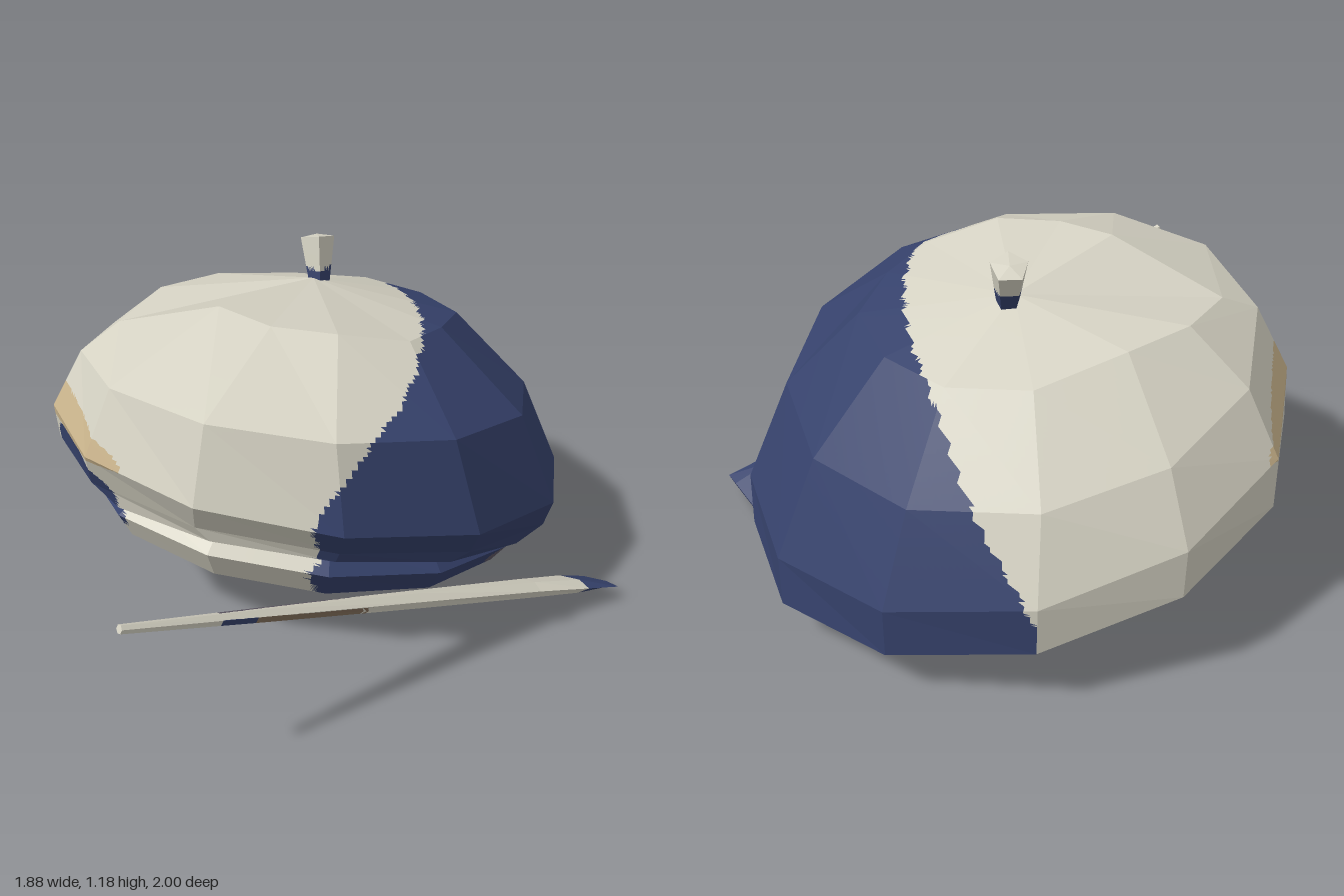
import * as THREE from 'three';

const mat = (name, color) => Object.assign(new THREE.MeshStandardMaterial({ color }), { name });
const V = (x, y, z) => new THREE.Vector3(x, y, z);

// Tilted elliptical ring: the plane rises by sx along x and by sz along z
function ring(cx, cy, cz, rx, rz, sx, sz, sides = 12, phase = 0) {
  return Array.from({ length: sides }, (_, i) => {
    const a = phase + (i / sides) * Math.PI * 2;
    const dx = rx * Math.cos(a), dz = rz * Math.sin(a);
    return V(cx + dx, cy + dx * sx + dz * sz, cz + dz);
  });
}

const point = (x, y, z, sides = 12) => Array.from({ length: sides }, () => V(x, y, z));

// True inside an ellipsoid, used to place painted patches
const within = (p, c, r) =>
  ((p.x - c[0]) / r[0]) ** 2 + ((p.y - c[1]) / r[1]) ** 2 + ((p.z - c[2]) / r[2]) ** 2 < 1;

// Flat-faceted skin over rings listed from top to bottom; paint(p) picks the colour of each small cell
function loft(name, rings, materials, paint, cells) {
  const lists = materials.map(() => []);
  const A = V(), B = V(), C = V(), mid = V();
  const facet = (a, b, c) => {
    const u = b.clone().sub(a), v = c.clone().sub(a);
    if (u.clone().cross(v).length() < 1e-7) return;
    const at = (t, i, j) => t.copy(a).addScaledVector(u, i / cells).addScaledVector(v, j / cells);
    const emit = () => {
      mid.copy(A).add(B).add(C).divideScalar(3);
      lists[paint(mid)].push(...A.toArray(), ...B.toArray(), ...C.toArray());
    };
    for (let i = 0; i < cells; i++) {
      for (let j = 0; j < cells - i; j++) {
        at(A, i, j); at(B, i + 1, j); at(C, i, j + 1);
        emit();
        if (i + j < cells - 1) {
          at(A, i + 1, j); at(B, i + 1, j + 1); at(C, i, j + 1);
          emit();
        }
      }
    }
  };
  for (let k = 0; k < rings.length - 1; k++) {
    const r0 = rings[k], r1 = rings[k + 1], n = r0.length;
    for (let j = 0; j < n; j++) {
      const m = (j + 1) % n;
      facet(r0[j], r0[m], r1[j]);
      facet(r0[m], r1[m], r1[j]);
    }
  }
  const geo = new THREE.BufferGeometry();
  let start = 0;
  lists.forEach((l, i) => {
    if (l.length) geo.addGroup(start, l.length / 3, i);
    start += l.length / 3;
  });
  geo.setAttribute('position', new THREE.Float32BufferAttribute(lists.flat(), 3));
  geo.computeVertexNormals();
  const mesh = new THREE.Mesh(geo, materials);
  mesh.name = name;
  return mesh;
}

export function createModel() {
  const group = new THREE.Group();
  const materials = [
    mat('cream', 0xd6d3c4), mat('navy', 0x36426c), mat('tan', 0xcab48c),
    mat('taupe', 0x615a66), mat('umber', 0x84705c),
  ];
  const [CREAM, NAVY, TAN, TAUPE, UMBER] = [0, 1, 2, 3, 4];

  // Curved, slightly ragged border between the two main colours
  const isNavySide = (p) => p.x > 0.28 - 0.42 * (p.z + 0.2) ** 2
    - 1.4 * Math.max(0, p.z - 0.2) * Math.max(0, 1 - p.y)
    - 0.25 * Math.max(0, 0.6 - p.y) + 0.006 * Math.sin(p.z * 60 + p.y * 45);
  const isLeftPatch = (p) => within(p, [-0.92, 0.54, 0.05], [0.2, 0.16, 0.28]);
  // Crescent hugging the widest edge on one side
  const isCrescent = (p) => {
    const dx = p.x + 0.07, dz = p.z + 0.2;
    const reach = 1 - ((Math.atan2(dz, -dx) - 0.06) / 0.6) ** 2;
    const h = p.y - (0.52 - 0.2 * dx + 0.15 * dz);
    return reach > 0 && h < 0.1 * Math.sqrt(reach) && h > -0.04 * reach;
  };

  // Puffy crown, drooping to the back and to one side, with an uneven top
  const upperEdge = [
    [0.42, 0.94, -0.22], [0.33, 0.985, -0.03], [0.2, 1.02, 0.12], [-0.03, 1.08, 0.16],
    [-0.23, 1.09, 0.1], [-0.38, 1.1, -0.04], [-0.7, 0.97, -0.24], [-0.56, 0.985, -0.45],
    [-0.36, 0.97, -0.57], [-0.08, 0.91, -0.67], [0.17, 0.9, -0.62], [0.34, 0.91, -0.45],
  ].map((c) => V(...c));
  const groove = ring(-0.09, 0.365, -0.14, 0.67, 0.55, -0.2, 0.2);
  group.add(loft('crown', [
    point(-0.05, 1.045, -0.33),
    upperEdge,
    ring(-0.085, 0.79, -0.18, 0.745, 0.725, -0.15, 0.19),
    ring(-0.07, 0.52, -0.2, 0.87, 0.81, -0.2, 0.15),
    ring(-0.07, 0.37, -0.25, 0.865, 0.75, -0.2, 0.18),
    ring(-0.08, 0.3, -0.14, 0.76, 0.62, -0.2, 0.26),
    groove,
  ], materials, (p) => {
    if (isCrescent(p)) return TAN;
    if (isLeftPatch(p)) return NAVY;
    return isNavySide(p) ? NAVY : CREAM;
  }, 22));

  // Rolled head band
  const bandBottom = ring(-0.1, 0.25, -0.15, 0.7, 0.54, -0.18, 0.04);
  group.add(loft('headBand', [
    groove,
    ring(-0.1, 0.325, -0.13, 0.74, 0.61, -0.19, 0.13),
    bandBottom,
  ], materials, (p) => {
    if (within(p, [0.58, 0.21, 0.06], [0.18, 0.08, 0.14])) return TAUPE;
    if (isLeftPatch(p) || (p.x < -0.72 && p.z > -0.08 && p.z < 0.2)) return NAVY;
    return isNavySide(p) ? NAVY : CREAM;
  }, 14));

  // Hollow lining, a shallow cone rising inside the band
  group.add(loft('lining', [bandBottom, point(-0.08, 0.46, -0.17)], materials, (p) => {
    const a = Math.atan2(p.z + 0.16, p.x + 0.09);
    return a < 1.22 && a > -1.5 || a > 2.72 && a < 3.04 ? NAVY : CREAM;
  }, 18));

  // Stalk on top, leaning back and flaring upwards
  const stalkRing = (y, z, r) => ring(-0.03, y, z, r, r, 0, 0.4, 5, Math.PI / 2);
  group.add(loft('stalk', [
    point(-0.03, 1.172, -0.402, 5),
    stalkRing(1.165, -0.395, 0.059),
    stalkRing(1.02, -0.345, 0.036),
  ], materials, (p) => (p.y < 1.075 ? NAVY : CREAM), 8));

  // Brush: a thin flat rod widening towards the dipped end
  const tip = V(-0.72, 0.67, 0.98), end = V(0.88, 0.037, 0.143);
  const axis = end.clone().sub(tip);
  const wide = V(0.11, 0.06, 0.15).normalize();
  const thick = wide.clone().cross(axis).normalize();
  const section = (t, w, h) => Array.from({ length: 6 }, (_, i) => {
    const a = (i / 6) * Math.PI * 2;
    return tip.clone().addScaledVector(axis, t)
      .addScaledVector(wide, w * Math.cos(a)).addScaledVector(thick, h * Math.sin(a));
  });
  const stations = [
    [0, 0, 0], [0, 0.014, 0.014], [0.25, 0.026, 0.022], [0.55, 0.042, 0.028],
    [0.82, 0.062, 0.03], [0.93, 0.088, 0.026], [1, 0.104, 0.012], [1, 0, 0],
  ];
  const brushMaterials = materials.map((m) => {
    m.side = THREE.DoubleSide;
    return m;
  });
  group.add(loft('brush', stations.map((s) => section(...s)), brushMaterials, (p) => {
    const d = p.clone().sub(tip);
    const t = d.dot(axis) / axis.lengthSq();
    const low = p.y < tip.y + axis.y * t + 0.008;
    if (t > 0.93) return NAVY;
    if (low && t > 0.17 && t < 0.23) return NAVY;
    if (low && t >= 0.23 && t < 0.44) return UMBER;
    if (t > 0.17 && t < 0.42 && Math.abs(d.dot(wide)) < 0.013) return TAUPE;
    return CREAM;
  }, 12));

  return group;
}
